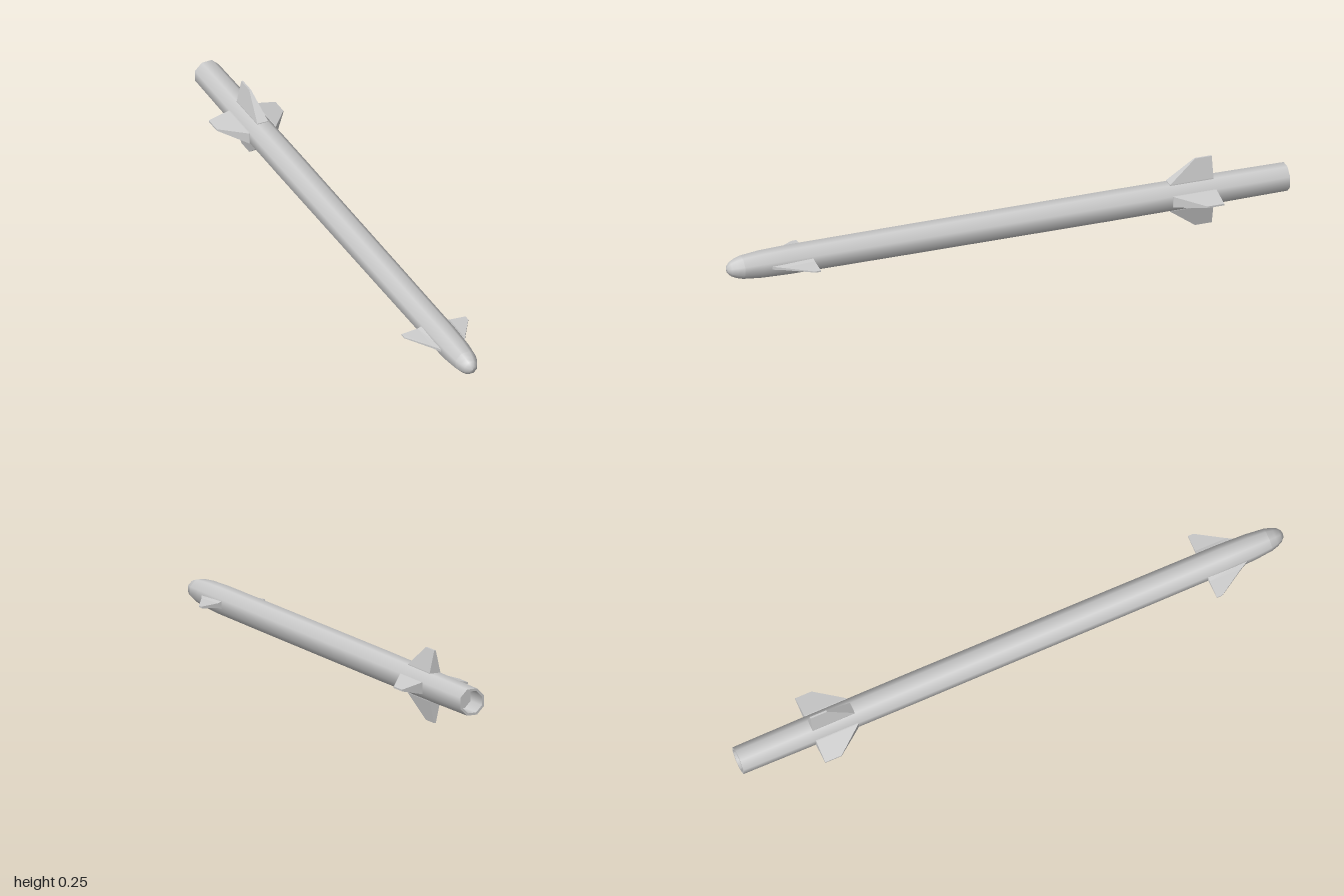
import * as THREE from 'three';

const material = new THREE.MeshStandardMaterial({ color: 0xcccccc });
const flatMaterial = new THREE.MeshStandardMaterial({ color: 0xcccccc, flatShading: true });
const AXIS_Y = 0.125;

// Eight-sided lathe along z; profile points are [distance to flat, z]
function octagonLathe(name, profile, mat = material) {
  const k = 1 / Math.cos(Math.PI / 8);
  const points = profile.map(([a, z]) => new THREE.Vector2(a * k, z));
  const geometry = new THREE.LatheGeometry(points, 8, Math.PI / 8);
  geometry.rotateX(Math.PI / 2);
  const mesh = new THREE.Mesh(geometry, mat);
  mesh.name = name;
  return mesh;
}

// Fin spanning +x from stations [x, trailing z, leading z, trailing half thickness, leading half thickness]
function finGeometry(stations) {
  const rings = stations.map(([x, zt, zl, ht, hl]) => [
    [x, -ht, zt], [x, ht, zt], [x, hl, zl], [x, -hl, zl],
  ]);
  const positions = [];
  const quad = (a, b, c, d) => positions.push(...a, ...b, ...c, ...a, ...c, ...d);
  for (let s = 0; s < rings.length - 1; s++) {
    for (let i = 0; i < 4; i++) {
      const j = (i + 1) % 4;
      quad(rings[s][i], rings[s][j], rings[s + 1][j], rings[s + 1][i]);
    }
  }
  quad(...rings[rings.length - 1]);
  quad(...[...rings[0]].reverse());
  const geometry = new THREE.BufferGeometry();
  geometry.setAttribute('position', new THREE.Float32BufferAttribute(positions, 3));
  geometry.computeVertexNormals();
  return geometry;
}

function addFins(group, name, geometry, count) {
  for (let i = 0; i < count; i++) {
    const fin = new THREE.Mesh(geometry, flatMaterial);
    fin.name = name + (i + 1);
    fin.rotation.z = (i * Math.PI * 2) / count;
    group.add(fin);
  }
}

export function createModel() {
  const group = new THREE.Group();
  group.name = 'missile';
  const assembly = new THREE.Group();
  assembly.name = 'airframe';
  assembly.position.y = AXIS_Y;
  group.add(assembly);

  // Long body running into a rounded nose
  assembly.add(octagonLathe('body', [
    [0.045, -1], [0.047, -0.76], [0.048, -0.37], [0.047, 0.37],
    [0.046, 0.78], [0.043, 0.88], [0.037, 0.945],
  ]));
  assembly.add(octagonLathe('nose', [
    [0.037, 0.945], [0.031, 0.968], [0.023, 0.986], [0.012, 0.997], [0, 1],
  ]));

  // Hollow exhaust at the tail
  assembly.add(octagonLathe('tailRim', [[0.037, -1], [0.045, -1]], flatMaterial));
  assembly.add(octagonLathe('exhaustBore', [[0.037, -0.92], [0.037, -1]]));
  assembly.add(octagonLathe('exhaustEnd', [[0, -0.92], [0.037, -0.92]], flatMaterial));

  // Four tapered tail fins
  addFins(assembly, 'tailFin', finGeometry([
    [0.03, -0.735, -0.58, 0.021, 0.021],
    [0.05, -0.735, -0.58, 0.02, 0.02],
    [0.125, -0.735, -0.675, 0.003, 0.003],
  ]), 4);

  // Two thin forward fins with a flared root
  addFins(assembly, 'forwardFin', finGeometry([
    [0.036, 0.705, 0.865, 0.016, 0.006],
    [0.06, 0.705, 0.82, 0.008, 0.004],
    [0.12, 0.705, 0.725, 0.003, 0.002],
  ]), 2);

  return group;
}
